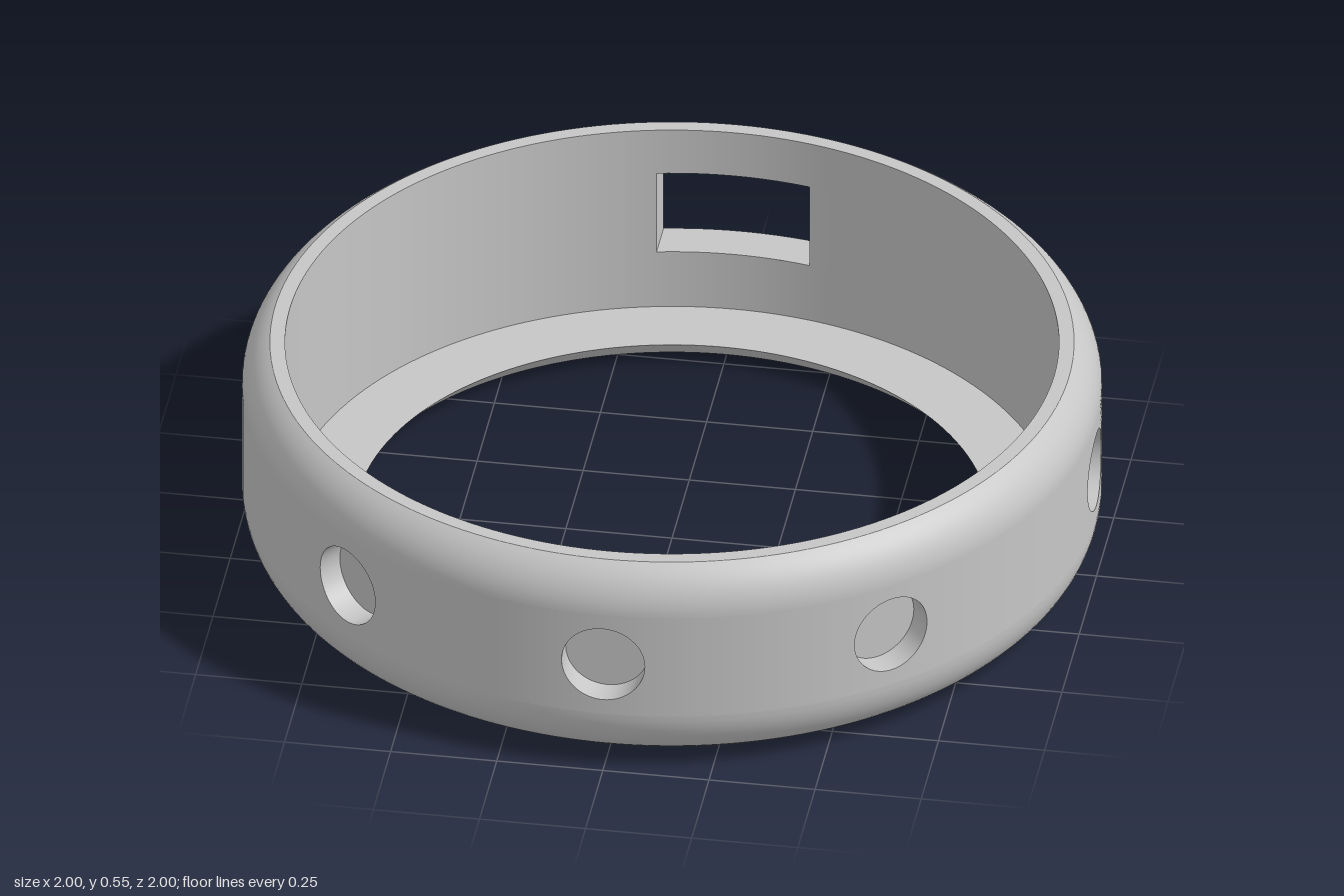
import * as THREE from 'three';
import { ParametricGeometry } from 'three/addons/geometries/ParametricGeometry.js';

const INNER = 0.9, RIM_R = 0.935, RIM_Y = 0.545, FLOOR_Y = 0.055;
const BAND_Y0 = 0.16, BAND_Y1 = 0.43, MID_Y = 0.295;    // straight part of the outer wall
const POCKET_R = 0.098, POCKET_BOTTOM = 0.935, PANEL = 0.135;
const WIN_X = 0.18, WIN_Y0 = 0.207, WIN_Y1 = 0.425;
const LAP = 0.002;                                      // small overlap that closes seams
const POCKETS = [-90, -40, 0, 40, 90].map(THREE.MathUtils.degToRad);

export function createModel() {
  const model = new THREE.Group();
  model.name = 'ringHousing';
  const grey = new THREE.MeshStandardMaterial({ color: 0xc6c6c6, side: THREE.DoubleSide });
  grey.name = 'lightGrey';

  const add = (name, geometry, parent = model) => {
    const mesh = new THREE.Mesh(geometry, grey);
    mesh.name = name;
    parent.add(mesh);
    return mesh;
  };
  // Surface of revolution, whole or from angle a to angle b (0 = front, towards +x)
  const turn = (name, pts, a = 0, b = Math.PI * 2) => {
    const segments = Math.max(4, Math.ceil((b - a) / (Math.PI * 2) * 180));
    return add(name, new THREE.LatheGeometry(pts.map(p => new THREE.Vector2(...p)), segments, a, b - a));
  };
  const surface = (name, fn, nu, nv, parent) =>
    add(name, new ParametricGeometry((u, v, out) => out.set(...fn(u, v)), nu, nv), parent);
  const depth = (r, x) => Math.sqrt(r * r - x * x);

  // Rounded shoulders below and above the straight band
  const lower = [], upper = [];
  const upperEnd = Math.acos((RIM_R - 0.85) / 0.15);
  for (let i = 0; i <= 14; i++) {
    const a = (i / 14 - 1) * Math.PI / 2;
    lower.push([0.865 + 0.135 * Math.cos(a), BAND_Y0 + 0.148 * Math.sin(a)]);
    const b = i / 14 * upperEnd;
    upper.push([0.85 + 0.15 * Math.cos(b), BAND_Y1 + (RIM_Y - BAND_Y1) * Math.sin(b) / Math.sin(upperEnd)]);
  }
  turn('lowerShoulder', lower);
  turn('upperShoulder', upper);

  // Rim, inner wall, floor ledge and base, one piece per crisp edge
  turn('topRim', [[RIM_R, RIM_Y], [INNER, RIM_Y]]);
  turn('innerWallTop', [[INNER, RIM_Y], [INNER, WIN_Y1]]);
  turn('innerWallBottom', [[INNER, WIN_Y0], [INNER, FLOOR_Y]]);
  turn('floorLedge', [[INNER, FLOOR_Y], [0.737, FLOOR_Y]]);
  turn('openingChamfer', [[0.737, FLOOR_Y], [0.79, 0]]);
  turn('baseRing', [[0.79, 0], [0.85, 0]]);
  turn('baseStep', [[0.85, 0], [0.85, 0.012]]);
  turn('baseGroove', [[0.85, 0.012], [0.865, 0.012]]);

  // Inner wall beside the window
  const innerHalf = Math.asin(WIN_X / INNER), outerHalf = Math.asin(WIN_X);
  turn('innerWallMiddle', [[INNER, WIN_Y1 + LAP], [INNER, WIN_Y0 - LAP]],
    -Math.PI + innerHalf, Math.PI - innerHalf);

  // Outer wall between the pockets and the window
  const half = Math.asin(PANEL);
  const stops = [-Math.PI + outerHalf];
  POCKETS.forEach(a => stops.push(a - half, a + half));
  stops.push(Math.PI - outerHalf);
  for (let i = 0; i < stops.length; i += 2)
    turn('outerWall', [[1, BAND_Y0 - LAP], [1, BAND_Y1 + LAP]], stops[i], stops[i + 1]);
  turn('windowSillFront', [[1, BAND_Y0 - LAP], [1, WIN_Y0]], Math.PI - outerHalf, Math.PI + outerHalf);
  turn('windowHeadFront', [[1, WIN_Y1], [1, BAND_Y1 + LAP]], Math.PI - outerHalf, Math.PI + outerHalf);

  // Round blind pockets, each in a curved square panel
  for (const angle of POCKETS) {
    const pocket = new THREE.Group();
    pocket.name = 'sidePocket';
    pocket.rotation.y = angle;
    model.add(pocket);
    surface('pocketPanel', (u, v) => {
      const c = Math.cos(v * Math.PI * 2), s = Math.sin(v * Math.PI * 2);
      const edge = (PANEL + LAP) / Math.max(Math.abs(c), Math.abs(s));
      const r = THREE.MathUtils.lerp(POCKET_R, edge, u);
      return [r * c, MID_Y + r * s, depth(1, r * c)];
    }, 3, 64, pocket);
    surface('pocketWall', (u, v) => {
      const x = POCKET_R * Math.cos(u * Math.PI * 2), y = POCKET_R * Math.sin(u * Math.PI * 2);
      return [x, MID_Y + y, THREE.MathUtils.lerp(depth(1, x), POCKET_BOTTOM, v)];
    }, 64, 1, pocket);
    add('pocketBottom', new THREE.CircleGeometry(POCKET_R, 64), pocket)
      .position.set(0, MID_Y, POCKET_BOTTOM);
  }

  // Window reveals through the back wall
  const reveal = (x, v) => -THREE.MathUtils.lerp(depth(1, x), depth(INNER, x), v);
  for (const y of [WIN_Y0, WIN_Y1])
    surface('windowReveal', (u, v) => {
      const x = (u * 2 - 1) * WIN_X;
      return [x, y, reveal(x, v)];
    }, 12, 1);
  for (const x of [-WIN_X, WIN_X])
    surface('windowJamb', (u, v) =>
      [x, THREE.MathUtils.lerp(WIN_Y0, WIN_Y1, u), reveal(x, v)], 1, 1);

  return model;
}
